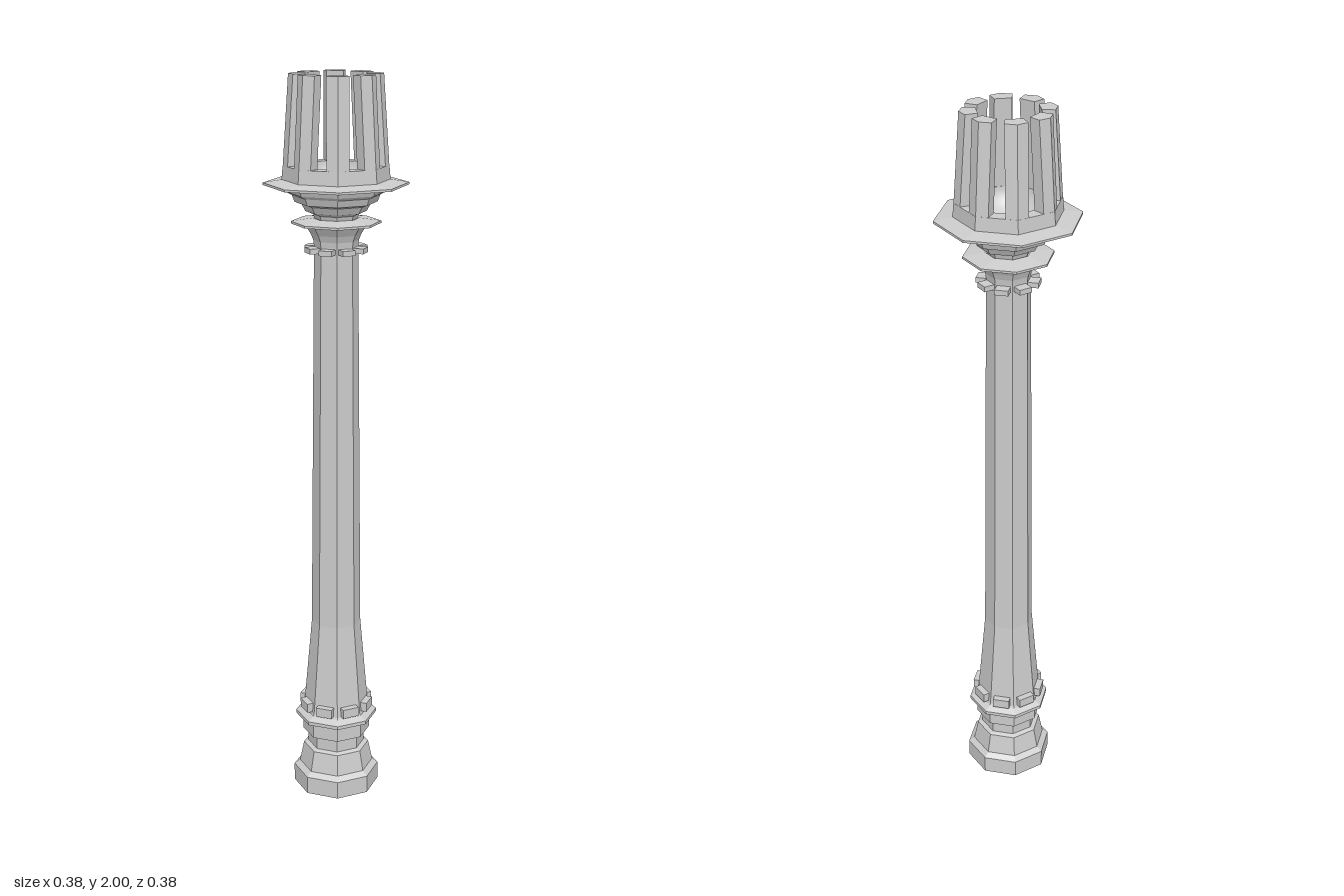
import * as THREE from 'three';

const flat = new THREE.MeshStandardMaterial({ color: 0xcccccc, flatShading: true });
const smooth = new THREE.MeshStandardMaterial({ color: 0xcccccc });

export function createModel() {
  const model = new THREE.Group();
  model.name = 'octagonalColumn';

  const add = (name, geometry, material = flat) => {
    const mesh = new THREE.Mesh(geometry, material);
    mesh.name = name;
    model.add(mesh);
    return mesh;
  };
  // Profile of [radius, height] turned into an eight-sided solid, corners on the axes
  const turned = (name, profile, sides = 8, material = flat) =>
    add(name, new THREE.LatheGeometry(profile.map(([r, y]) => new THREE.Vector2(r, y)), sides), material);

  // Foot with a recessed underside, stepped plinth and collar flange
  turned('base', [
    [0, 0.04], [0.1, 0.04], [0.1, 0], [0.12, 0], [0.12, 0.05], [0.104, 0.062],
    [0.092, 0.12], [0.079, 0.125], [0.079, 0.16], [0.094, 0.165], [0.094, 0.205],
    [0.114, 0.212], [0.114, 0.222], [0.094, 0.232], [0.09, 0.24],
  ]);

  // Flared, slightly tapering shaft
  turned('shaft', [[0.092, 0.23], [0.088, 0.27], [0.068, 0.5], [0.058, 1.57]]);

  // One small block per face, in a ring
  const blockRing = (name, outer, inner, width, y0, y1) => {
    for (let i = 0; i < 8; i++) {
      const g = new THREE.BoxGeometry(width, y1 - y0, outer - inner);
      g.translate(0, (y0 + y1) / 2, (outer + inner) / 2);
      g.rotateY((i + 0.5) * Math.PI / 4);
      add(name, g);
    }
  };
  blockRing('lowerBlock', 0.1, 0.07, 0.047, 0.24, 0.266);
  blockRing('upperBlock', 0.082, 0.045, 0.036, 1.544, 1.558);

  // Flared capital carrying a thin plate
  turned('capital', [
    [0.058, 1.56], [0.06, 1.575], [0.067, 1.592], [0.08, 1.612],
    [0.118, 1.618], [0.118, 1.624], [0.06, 1.632],
  ]);

  // Stepped cup, wide brim and low basket wall
  turned('cup', [
    [0.055, 1.626], [0.06, 1.642], [0.08, 1.65], [0.09, 1.668], [0.108, 1.674],
    [0.115, 1.692], [0.13, 1.7], [0.135, 1.712], [0.19, 1.718], [0.19, 1.724],
    [0.141, 1.732], [0.138, 1.768],
  ]);

  // Flat rim: octagon outside, round opening inside
  const rim = new THREE.Shape();
  for (let i = 0; i < 8; i++) {
    const a = i * Math.PI / 4;
    rim[i ? 'lineTo' : 'moveTo'](0.138 * Math.cos(a), 0.138 * Math.sin(a));
  }
  rim.closePath();
  rim.holes.push(new THREE.Path().absarc(0, 0, 0.093, 0, Math.PI * 2, true));
  add('basketRim', new THREE.ShapeGeometry(rim, 16).rotateX(-Math.PI / 2).translate(0, 1.768, 0));

  // Round bowl inside the basket
  const bowl = [];
  for (let i = 0; i <= 10; i++) {
    const a = i / 10 * Math.PI / 2;
    bowl.push([0.093 * Math.cos(a), 1.768 - 0.07 * Math.sin(a)]);
  }
  turned('bowl', bowl, 32, smooth);

  // Eight five-sided bars leaning inward towards the top
  const section = new THREE.Shape([[0, -0.122], [0.029, -0.11], [0.022, -0.078], [-0.022, -0.078], [-0.029, -0.11]]
    .map(([x, y]) => new THREE.Vector2(x, y)));
  const low = 1.76, high = 2;
  for (let i = 0; i < 8; i++) {
    const g = new THREE.ExtrudeGeometry(section, { depth: high - low, bevelEnabled: false });
    g.rotateX(-Math.PI / 2).translate(0, low, 0);
    const p = g.attributes.position;
    for (let k = 0; k < p.count; k++) {
      p.setZ(k, p.getZ(k) + 0.016 * (high - p.getY(k)) / (high - low));
    }
    g.computeVertexNormals();
    add('basketBar', g.rotateY(i * Math.PI / 4));
  }

  return model;
}
